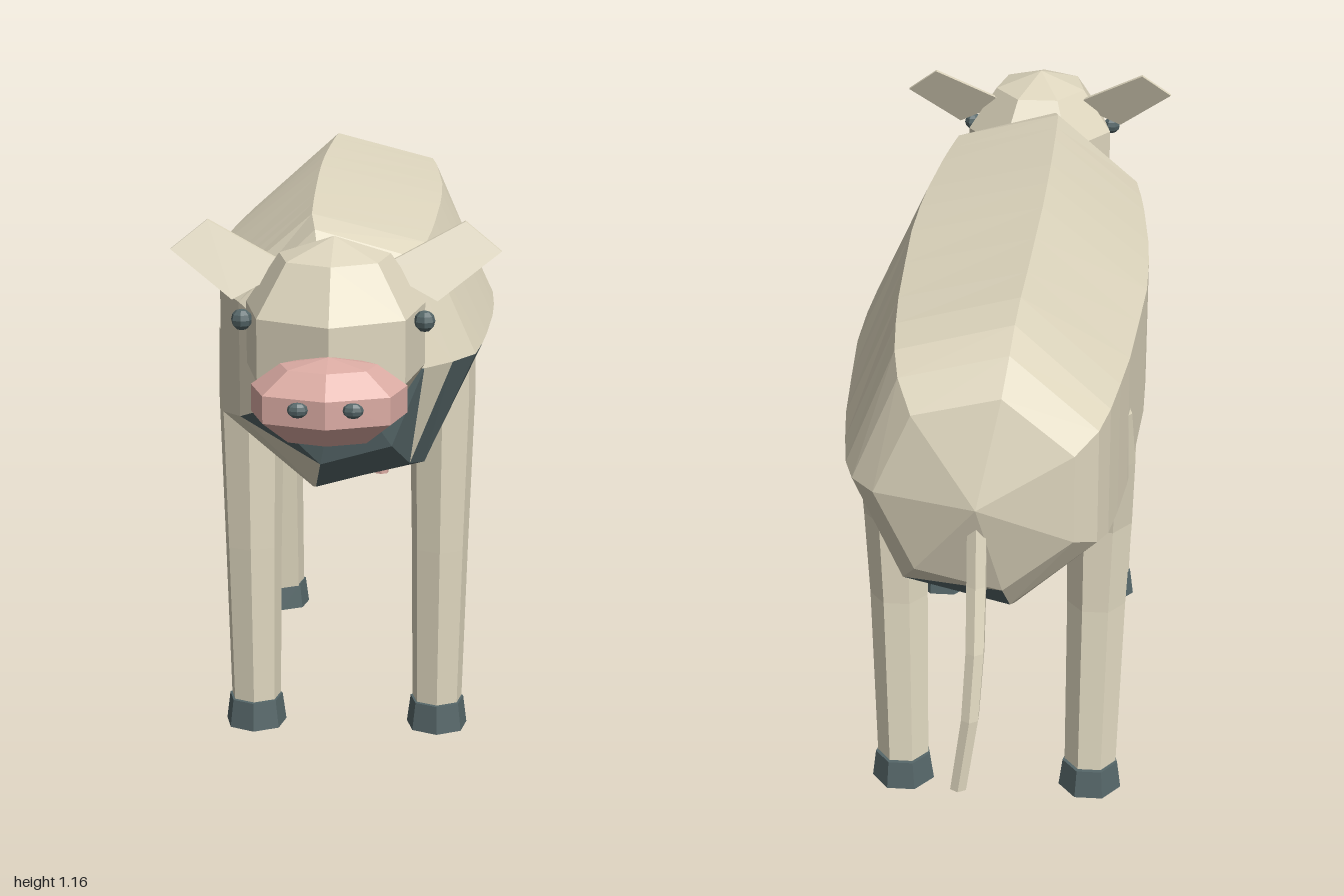
import * as THREE from 'three';

const paint = (color) => new THREE.MeshStandardMaterial({ color, flatShading: true, side: THREE.DoubleSide });
const cream = paint(0xded6be);
const slate = paint(0x566769);
const pink = paint(0xdcaca4);
const SIDES = 7;

export function createModel() {
  const model = new THREE.Group();

  const add = (name, geometry, material) => {
    const mesh = new THREE.Mesh(geometry, material);
    mesh.name = name;
    model.add(mesh);
    return mesh;
  };

  // Faceted ball with one vertex column facing the front
  const ball = (name, material, radii, position, rows = 5) => {
    const geometry = new THREE.SphereGeometry(1, SIDES, rows);
    geometry.rotateY(Math.PI / 2).scale(...radii).translate(...position);
    return add(name, geometry, material);
  };

  // Tapered limb through points [x, y, z, radius], from top to bottom
  const limb = (name, material, points, sides = SIDES) => {
    const n = points.length - 1;
    const geometry = new THREE.CylinderGeometry(1, 1, 1, sides, n);
    const pos = geometry.attributes.position;
    for (let i = 0; i < pos.count; i++) {
      const [x, y, z, r] = points[Math.round((0.5 - pos.getY(i)) * n)];
      pos.setXYZ(i, x + pos.getX(i) * r, y, z + pos.getZ(i) * r);
    }
    return add(name, geometry, material);
  };

  // Body: seven-sided rings [z, half width, half height] from chest to rump
  const rings = [
    [0.56, 0, 0], [0.52, 0.165, 0.2], [0.46, 0.22, 0.265], [0.39, 0.265, 0.285],
    [0.29, 0.28, 0.291], [0.2, 0.29, 0.297], [0.02, 0.305, 0.307], [-0.1, 0.31, 0.312],
    [-0.24, 0.31, 0.314], [-0.4, 0.298, 0.314], [-0.56, 0.285, 0.312], [-0.67, 0.27, 0.309],
    [-0.76, 0.255, 0.295], [-0.82, 0.235, 0.262], [-0.87, 0.19, 0.2], [-0.925, 0, 0],
  ];
  const ringPoint = (i, s) => {
    const [z, rx, ry] = rings[i];
    const t = (s / SIDES) * Math.PI * 2;
    return [Math.cos(t) * rx, 0.855 + Math.sin(t) * ry, z];
  };

  // Dark patches: per sector, the triangle halves of each ring gap (1, 2 or 3 = both)
  const patches = {
    4: { 0: 3, 1: 1, 12: 1 },
    5: { 0: 3, 1: 3, 2: 3, 3: 3, 4: 3, 5: 3, 6: 3, 10: 2, 13: 1 },
    6: { 0: 2, 1: 1, 2: 3, 3: 3, 6: 1, 7: 3, 10: 3, 11: 1 },
  };
  const coat = [];
  const dark = [];
  for (let i = 0; i < rings.length - 1; i++) {
    for (let s = 0; s < SIDES; s++) {
      const a = ringPoint(i, s), b = ringPoint(i, s + 1);
      const c = ringPoint(i + 1, s + 1), d = ringPoint(i + 1, s);
      const mask = patches[s]?.[i] ?? 0;
      (mask & 1 || i === 0 && mask ? dark : coat).push(...a, ...d, ...b);
      (mask & 2 ? dark : coat).push(...d, ...c, ...b);
    }
  }
  const faces = (list) => {
    const geometry = new THREE.BufferGeometry();
    geometry.setAttribute('position', new THREE.Float32BufferAttribute(list, 3));
    geometry.computeVertexNormals();
    return geometry;
  };
  add('body', faces(coat), cream);
  add('bodyPatches', faces(dark), slate);

  // Head, muzzle and udder
  ball('head', cream, [0.18, 0.19, 0.205], [0, 0.95, 0.68]);
  ball('muzzle', pink, [0.15, 0.08, 0.113], [0, 0.88, 0.885]);
  ball('udder', pink, [0.138, 0.1, 0.155], [0, 0.58, -0.28]);

  for (const side of [-1, 1]) {
    const label = side > 0 ? 'left' : 'right';

    // Face details
    ball(label + 'Eye', slate, [0.02, 0.02, 0.02], [side * 0.167, 0.993, 0.73], 6);
    ball(label + 'Nostril', slate, [0.019, 0.014, 0.012], [side * 0.048, 0.888, 0.983], 6);

    // Kite-shaped ear, leaning back towards its top
    const outline = [[0.08, 1.075], [0.19, 1.018], [0.307, 1.105], [0.24, 1.157]];
    const shape = new THREE.Shape(outline.map(([x, y]) => new THREE.Vector2(side * x, y)));
    const ear = new THREE.ExtrudeGeometry(shape, { depth: 0.012, bevelEnabled: false });
    const pos = ear.attributes.position;
    for (let i = 0; i < pos.count; i++) {
      pos.setZ(i, pos.getZ(i) + 0.66 - (pos.getY(i) - 1.02) * 0.42);
    }
    add(label + 'Ear', ear, cream);

    // Legs and hooves
    const x = side * 0.195;
    limb(label + 'FrontLeg', cream, [
      [side * 0.2, 0.86, 0.2, 0.068], [side * 0.2, 0.72, 0.2, 0.07],
      [side * 0.198, 0.4, 0.215, 0.061], [x, 0.05, 0.223, 0.054],
    ]);
    limb(label + 'HindLeg', cream, [
      [side * 0.21, 0.87, -0.54, 0.055], [side * 0.207, 0.75, -0.508, 0.066],
      [side * 0.203, 0.6, -0.483, 0.066], [side * 0.2, 0.42, -0.495, 0.06],
      [x, 0.05, -0.536, 0.054],
    ]);
    for (const [name, z] of [['FrontHoof', 0.228], ['HindHoof', -0.54]]) {
      limb(label + name, slate, [[x, 0.06, z, 0.058], [x, 0, z, 0.066]]);
    }

    // Teats
    for (const [name, z] of [['FrontTeat', -0.23], ['HindTeat', -0.35]]) {
      limb(label + name, pink, [[side * 0.06, 0.53, z, 0.017], [side * 0.06, 0.43, z, 0.017]]);
    }
  }

  // Tail
  limb('tail', cream, [
    [0, 0.84, -0.885, 0.02], [0, 0.7, -0.915, 0.02], [0, 0.58, -0.95, 0.019],
    [0.008, 0.45, -0.975, 0.018], [0.03, 0.3, -0.983, 0.017],
  ], 6);

  return model;
}
